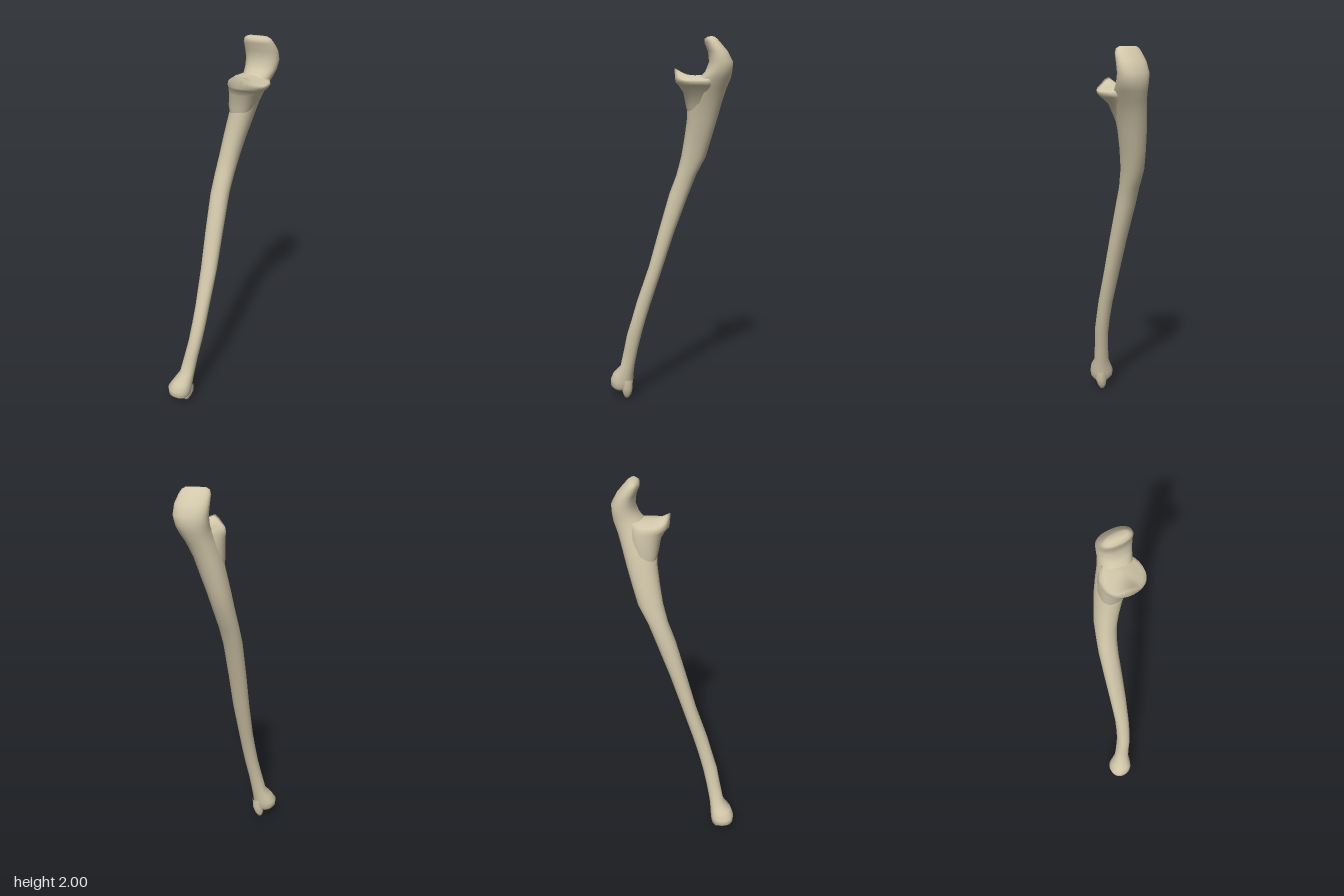
import * as THREE from 'three';

const SEG = 28;

// Closed skin through horizontal rounded rings [y, xMin, xMax, zMin, zMax].
// heightAt(x, z, y, ringIndex) may bend a ring out of its plane.
function loft(rings, power = 2.2, heightAt = (x, z, y) => y) {
  const pos = [], index = [];
  const round = (v) => Math.sign(v) * Math.pow(Math.abs(v), 2 / power);
  rings.forEach(([y, x0, x1, z0, z1], i) => {
    for (let j = 0; j < SEG; j++) {
      const a = (j / SEG) * Math.PI * 2;
      const x = (x0 + x1) / 2 + round(Math.cos(a)) * (x1 - x0) / 2;
      const z = (z0 + z1) / 2 + round(Math.sin(a)) * (z1 - z0) / 2;
      pos.push(x, heightAt(x, z, y, i), z);
    }
  });
  for (let i = 0; i < rings.length - 1; i++) {
    for (let j = 0; j < SEG; j++) {
      const a = i * SEG + j, b = i * SEG + (j + 1) % SEG;
      index.push(a, a + SEG, b, b, a + SEG, b + SEG);
    }
  }
  const geo = new THREE.BufferGeometry();
  geo.setAttribute('position', new THREE.Float32BufferAttribute(pos, 3));
  geo.setIndex(index);
  geo.computeVertexNormals();
  return geo;
}

// Shrinks a ring towards its middle, for closing an end
function shrink([y, x0, x1, z0, z1], s, newY = y) {
  const cx = (x0 + x1) / 2, cz = (z0 + z1) / 2;
  return [newY, cx + (x0 - cx) * s, cx + (x1 - cx) * s, cz + (z0 - cz) * s, cz + (z1 - cz) * s];
}

export function createModel() {
  const bone = new THREE.MeshStandardMaterial({ color: 0xd2c7aa });
  bone.name = 'bone';
  const group = new THREE.Group();
  group.name = 'forearmBone';
  const add = (name, geo) => {
    const mesh = new THREE.Mesh(geo, bone);
    mesh.name = name;
    group.add(mesh);
  };

  // Rounded lower head and the long curved shaft
  const headEnd = [0.055, -0.18, -0.09, 0.215, 0.305];
  const shaft = [
    shrink(headEnd, 0.01, 0.052), headEnd,
    [0.075, -0.2, -0.076, 0.2, 0.324],
    [0.11, -0.203, -0.071, 0.196, 0.325],
    [0.15, -0.178, -0.069, 0.193, 0.308],
    [0.2, -0.147, -0.066, 0.187, 0.266],
    [0.3, -0.127, -0.052, 0.168, 0.245],
    [0.4, -0.108, -0.035, 0.145, 0.225],
    [0.5, -0.098, -0.023, 0.118, 0.195],
    [0.6, -0.09, -0.014, 0.088, 0.167],
    [0.8, -0.085, 0.003, 0.024, 0.1],
    [1.0, -0.082, 0.012, -0.04, 0.046],
    [1.2, -0.077, 0.021, -0.112, -0.01],
    [1.3, -0.068, 0.033, -0.15, -0.047],
    [1.4, -0.055, 0.05, -0.2, -0.072],
    [1.5, -0.04, 0.075, -0.228, -0.088],
    [1.6, -0.022, 0.104, -0.255, -0.1],
    [1.68, -0.005, 0.128, -0.275, -0.1],
  ];
  // Hooked upper end, hollowed at the front
  const hook = [
    [1.75, 0.015, 0.158, -0.295, -0.115],
    [1.8, 0.03, 0.182, -0.315, -0.155],
    [1.835, 0.032, 0.195, -0.321, -0.188],
    [1.88, 0.033, 0.203, -0.323, -0.205],
    [1.93, 0.031, 0.2, -0.296, -0.199],
    [1.97, 0.033, 0.187, -0.262, -0.182],
    [1.99, 0.04, 0.175, -0.244, -0.183],
    [1.999, 0.055, 0.158, -0.232, -0.196],
    [2.0, 0.106, 0.107, -0.215, -0.214],
  ];
  add('shaftAndHook', loft([...shaft, ...hook]));

  // Forward shelf: flares out of the shaft, topped by a saddle rising to a peak
  const rim = [1.8, -0.004, 0.194, -0.24, -0.035];
  const flare = [
    [1.56, 0.0, 0.07, -0.2, -0.12],
    [1.66, -0.014, 0.115, -0.22, -0.094],
    [1.73, -0.012, 0.15, -0.235, -0.08],
    [1.765, -0.011, 0.188, -0.24, -0.056],
    [1.78, -0.01, 0.198, -0.24, -0.04],
  ];
  const caps = [1, 0.85, 0.65, 0.4, 0.2, 0.01].map((s) => shrink(rim, s));
  const saddle = (x, z) => {
    const front = Math.min(1, Math.max(0, (z + 0.13) / 0.09));
    const peak = 0.036 * front * front * Math.exp(-(((x - 0.072) / 0.04) ** 2));
    return 1.815 + peak - 0.024 * Math.min(1, ((x - 0.085) / 0.1) ** 2);
  };
  add('forwardShelf', loft([...flare, ...caps], 2.3,
    (x, z, y, i) => (i < flare.length ? y : saddle(x, z))));

  // Small pointed tip below the head
  add('lowerPoint', loft([
    [0.0, -0.117, -0.114, 0.231, 0.234],
    [0.006, -0.127, -0.104, 0.221, 0.244],
    [0.03, -0.136, -0.088, 0.206, 0.254],
    [0.07, -0.138, -0.073, 0.198, 0.262],
    [0.12, -0.135, -0.072, 0.198, 0.262],
  ]));

  return group;
}
